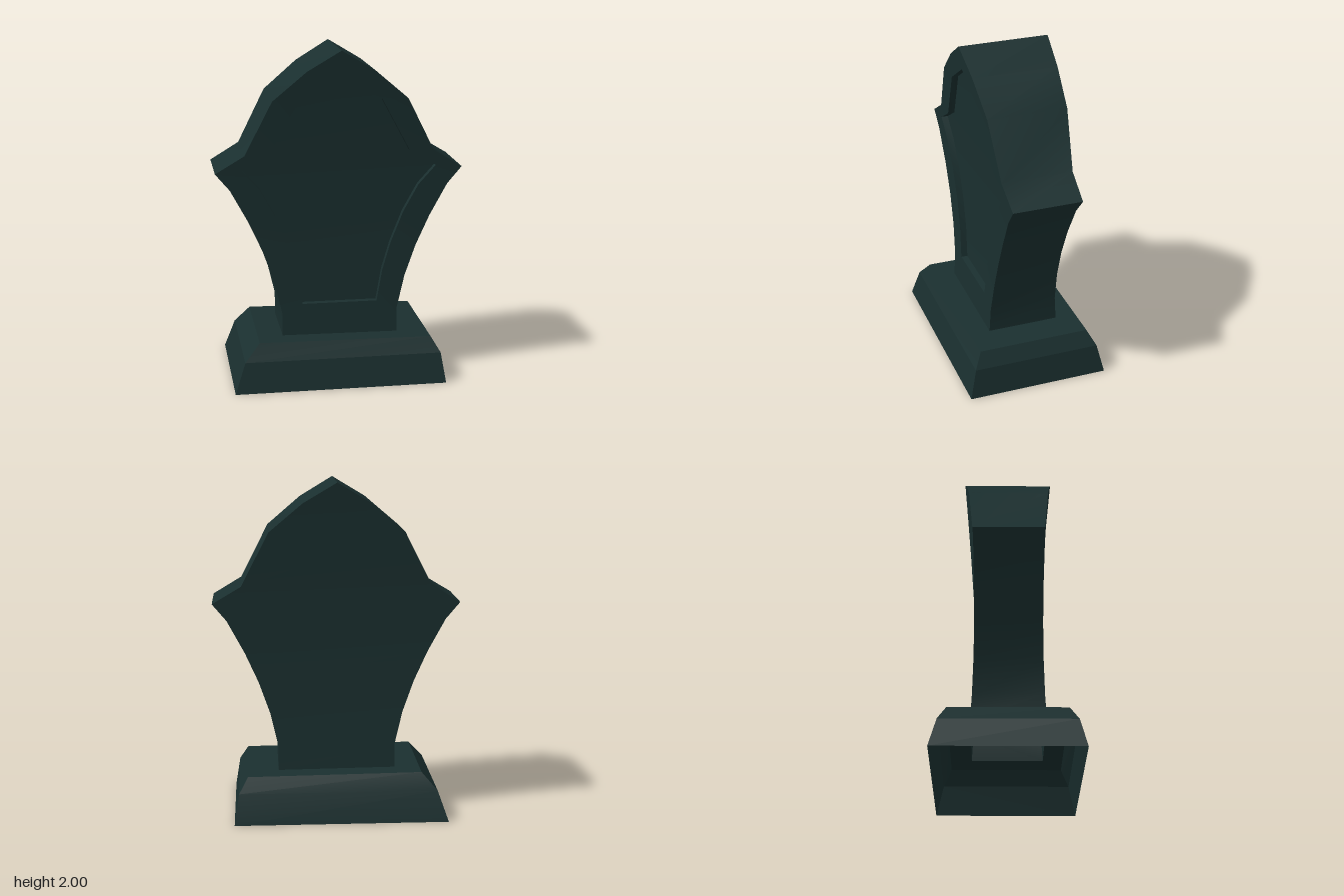
import * as THREE from 'three';
import { toCreasedNormals } from 'three/addons/utils/BufferGeometryUtils.js';

const stone = new THREE.MeshStandardMaterial({ color: 0x1a2f2f, side: THREE.DoubleSide });

// Right half of the slab outline and of the sunken panel, paired from foot to peak
const OUTER = [[0.35, 0.265], [0.35, 0.42], [0.397, 0.62], [0.464, 0.81], [0.545, 0.99], [0.65, 1.185],
  [0.735, 1.287], [0.563, 1.39], [0.4, 1.71], [0.2, 1.88], [0, 2]];
const INNER = [[0.226, 0.47], [0.226, 0.47], [0.26, 0.66], [0.31, 0.83], [0.385, 1.02], [0.475, 1.185],
  [0.577, 1.3], [0.417, 1.395], [0.245, 1.71], [0.122, 1.785], [0, 1.858]];
const RECESS = 0.04;

// The slab is slimmest at the waist and thickens towards foot and peak
const halfDepth = (y) => 0.197 + 0.056 * (y - 0.85) ** 2;
const front = ([x, y]) => [x, y, 0.006 + halfDepth(y)];
const back = ([x, y]) => [x, y, 0.006 - halfDepth(y)];
const sunk = ([x, y]) => [x, y, 0.006 + halfDepth(y) - RECESS];
const mirror = ([x, y]) => [-x, y];
const fullLoop = (half) => [...half, ...half.slice(0, -1).reverse().map(mirror)];

// Collects quads, dropping collapsed triangles
function surface(name, crease, fill) {
  const pos = [];
  const same = (p, q) => p.every((v, i) => Math.abs(v - q[i]) < 1e-6);
  const tri = (a, b, c) => {
    if (!same(a, b) && !same(b, c) && !same(a, c)) pos.push(...a, ...b, ...c);
  };
  fill((a, b, c, d) => { tri(a, b, c); tri(a, c, d); });
  const geo = new THREE.BufferGeometry();
  geo.setAttribute('position', new THREE.Float32BufferAttribute(pos, 3));
  const mesh = new THREE.Mesh(toCreasedNormals(geo, crease), stone);
  mesh.name = name;
  return mesh;
}

function createSlab() {
  const outer = fullLoop(OUTER), inner = fullLoop(INNER), n = outer.length;
  const slab = new THREE.Group();
  slab.name = 'headstone';

  // Outer edge, front frame, recess walls and back; the foot stays open
  slab.add(surface('slabBody', 0.6, (quad) => {
    for (let i = 0; i < n; i++) {
      const j = (i + 1) % n;
      if (j) quad(front(outer[i]), back(outer[i]), back(outer[j]), front(outer[j]));
      quad(front(outer[i]), front(outer[j]), front(inner[j]), front(inner[i]));
      quad(front(inner[i]), front(inner[j]), sunk(inner[j]), sunk(inner[i]));
    }
    for (let i = 0; i < OUTER.length - 1; i++) {
      const a = OUTER[i], b = OUTER[i + 1];
      quad(back(a), back(mirror(a)), back(mirror(b)), back(b));
    }
  }));

  // Sunken face
  slab.add(surface('inscriptionPanel', 0.6, (quad) => {
    for (let i = 0; i < INNER.length - 1; i++) {
      const a = INNER[i], b = INNER[i + 1];
      quad(sunk(mirror(a)), sunk(a), sunk(b), sunk(mirror(b)));
    }
  }));
  return slab;
}

// Hollow plinth, slightly uneven: rings of [left, right, back, front, yLeft, yRight]
function createPlinth() {
  const d = halfDepth(0.27);
  const rings = [
    [-0.655, 0.616, -0.43, 0.43, 0, 0],
    [-0.592, 0.588, -0.386, 0.39, 0.18, 0.18],
    [-0.5, 0.535, -0.338, 0.342, 0.283, 0.27],
    [-0.35, 0.35, 0.006 - d, 0.006 + d, 0.281, 0.273],
  ].map(([l, r, b, f, yl, yr]) => [[l, yl, f], [r, yr, f], [r, yr, b], [l, yl, b]]);
  return surface('plinth', 0.2, (quad) => {
    for (let k = 0; k < rings.length - 1; k++) {
      for (let i = 0; i < 4; i++) {
        const j = (i + 1) % 4;
        quad(rings[k][i], rings[k][j], rings[k + 1][j], rings[k + 1][i]);
      }
    }
  });
}

export function createModel() {
  const model = new THREE.Group();
  model.name = 'gravestone';
  model.add(createPlinth(), createSlab());
  return model;
}
